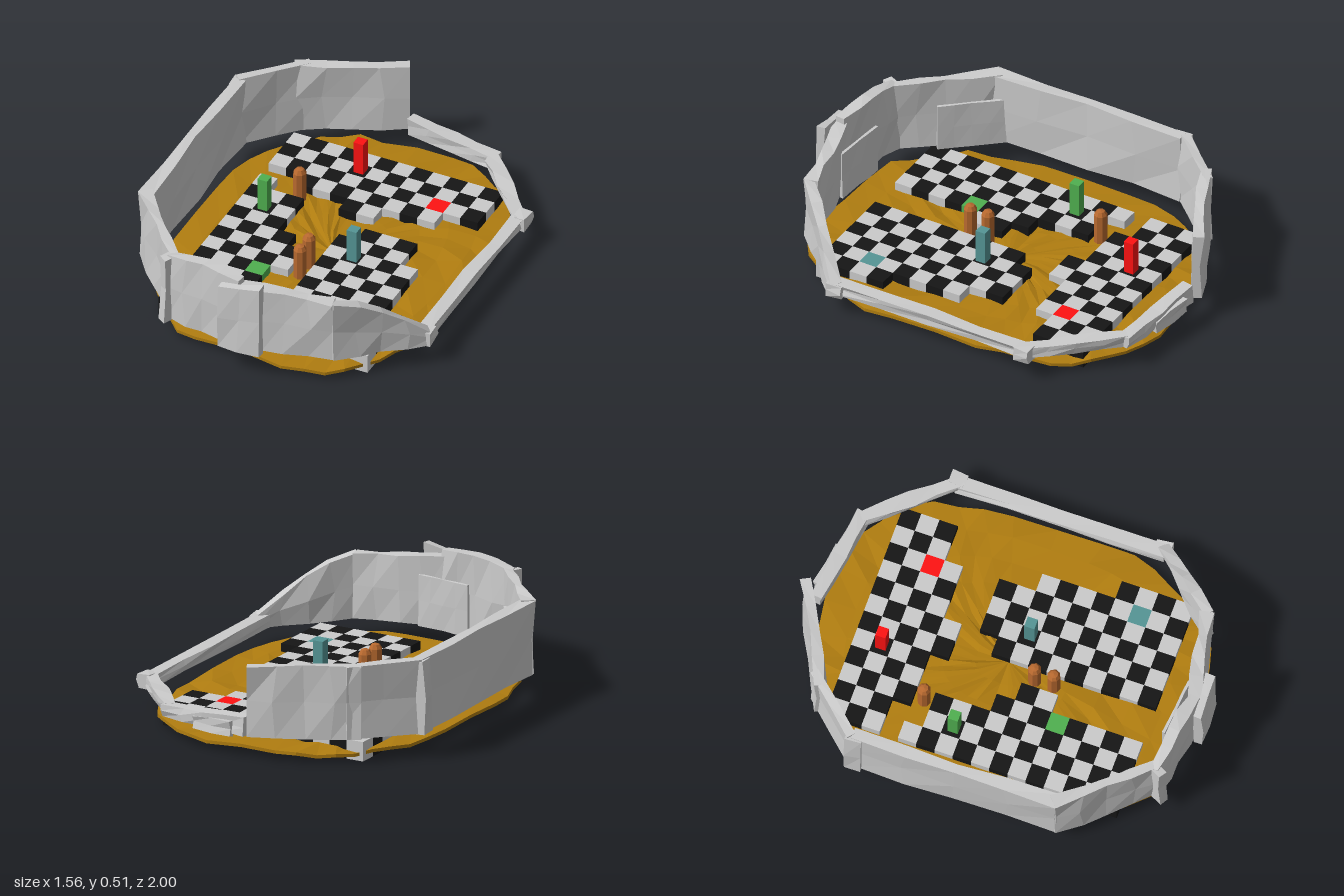
import * as THREE from 'three';
import { mergeGeometries } from 'three/addons/utils/BufferGeometryUtils.js';

const mat = (color, extra = {}) => new THREE.MeshStandardMaterial({ color, flatShading: true, ...extra });

// Repeatable noise in -1..1 that depends on position only, so shared corners stay joined
function noise(x, y, z, k = 0) {
  const r = (v) => Math.round(v * 1000);
  const s = Math.sin(r(x) * 12.9898 + r(y) * 78.233 + r(z) * 37.719 + k * 11.13) * 43758.5453;
  return (s - Math.floor(s)) * 2 - 1;
}

// Rough slab standing between two ground points, with its own top height at each end
function makeSlab({ from, to, top, base = [0.12, 0.12], thick = 0.05, rough = 0.012, bulge = 0, cells = 4 }) {
  const geo = new THREE.BoxGeometry(1, 1, 1, cells, 2, 1);
  const p = geo.attributes.position;
  const dx = to[0] - from[0], dz = to[1] - from[1], len = Math.hypot(dx, dz);
  const nx = -dz / len, nz = dx / len;
  for (let i = 0; i < p.count; i++) {
    const t = p.getX(i) + 0.5, v = p.getY(i) + 0.5, s = p.getZ(i);
    const x = from[0] + dx * t + nx * s * thick;
    const z = from[1] + dz * t + nz * s * thick;
    const low = THREE.MathUtils.lerp(base[0], base[1], t);
    const high = THREE.MathUtils.lerp(top[0], top[1], t) + bulge * 4 * t * (1 - t);
    const y = low + (high - low) * v;
    const n = rough * noise(x, y, z), m = rough * 0.4 * noise(x, y, z, 5);
    const along = t > 0.01 && t < 0.99 ? rough * 1.5 * noise(t, v, 0, 9) : 0;
    p.setXYZ(i, x + nx * n + (dx / len) * along, y + m, z + nz * n + (dz / len) * along);
  }
  geo.computeVertexNormals();
  return geo;
}

// Uneven ground plate: rings of a rounded outline, closed by an upper and a lower skin
function makeGround() {
  const rings = 6, sides = 44, pos = [], idx = [];
  const point = (r, a, skin) => {
    const c = Math.cos(a), s = Math.sin(a), e = 2 / 2.8;
    const edge = r === rings ? 1 + 0.025 * noise(c, s, 0, 3) : 1;
    const k = (r / rings) * edge;
    const x = 0.7 * k * Math.sign(c) * Math.abs(c) ** e;
    const z = 0.905 * k * Math.sign(s) * Math.abs(s) ** e;
    const half = r === rings ? 0.008 : 0.014;
    return [x, 0.038 + skin * half + 0.009 * noise(x, 0, z, r === rings ? 2 : skin), z];
  };
  for (const skin of [1, -1])
    for (let r = 0; r <= rings; r++)
      for (let i = 0; i < sides; i++) pos.push(...point(r, (i / sides) * Math.PI * 2, skin));
  const half = (rings + 1) * sides;
  const quad = (a, b, c, d) => idx.push(a, b, c, a, c, d);
  for (let i = 0; i < sides; i++) {
    const j = (i + 1) % sides;
    for (let r = 0; r < rings; r++) {
      const a = r * sides + i, b = r * sides + j;
      quad(a, b, b + sides, a + sides);
      quad(half + a, half + a + sides, half + b + sides, half + b);
    }
    const o = rings * sides;
    quad(o + i, o + j, half + o + j, half + o + i);
  }
  const geo = new THREE.BufferGeometry();
  geo.setAttribute('position', new THREE.Float32BufferAttribute(pos, 3));
  geo.setIndex(idx);
  geo.computeVertexNormals();
  return geo;
}

export function createModel() {
  const model = new THREE.Group();
  const add = (name, geo, material, x = 0, y = 0, z = 0, parent = model) => {
    const mesh = new THREE.Mesh(geo, material);
    mesh.name = name;
    mesh.position.set(x, y, z);
    parent.add(mesh);
    return mesh;
  };
  const grey = mat(0xcccccc), black = mat(0x151515), red = mat(0xff1212);
  const green = mat(0x50b050), teal = mat(0x559595), brown = mat(0xb8692f);

  add('ground', makeGround(), mat(0xb07d10, { side: THREE.DoubleSide }));

  // Checkered floor, one line per row from back to front
  const layout = [
    '############', '############', '############', '..########..',
    '#....##.....', '###.........', '###....###..', '###...####..',
    '####..#####.', '#####.#####.', '#####.#####.', '####..#####.',
    '####..######', '####..######', '####..######', '####..######',
  ];
  const special = { '2,9': 'red', '11,3': 'green', '13,10': 'teal' };
  const tileMats = { grey, black, red, green, teal };
  const tiles = { grey: [], black: [], red: [], green: [], teal: [] };
  const size = 0.09;
  layout.forEach((row, r) => [...row].forEach((ch, c) => {
    if (ch !== '#') return;
    const kind = special[`${r},${c}`] ?? ((r + c) % 2 ? 'black' : 'grey');
    const box = new THREE.BoxGeometry(size, 0.095, size);
    tiles[kind].push(box.translate(-0.545 + (c + 0.5) * size, 0.0475, -0.713 + (r + 0.5) * size));
  }));
  const board = new THREE.Group();
  board.name = 'checkeredFloor';
  model.add(board);
  for (const kind in tiles) add(`${kind}Tiles`, mergeGeometries(tiles[kind]), tileMats[kind], 0, 0, 0, board);

  // Square coloured pillars
  for (const [name, m, x, z] of [
    ['redPillar', red, -0.135, -0.577], ['greenPillar', green, -0.41, -0.122], ['tealPillar', teal, 0.14, 0.06],
  ]) add(name, new THREE.BoxGeometry(0.05, 0.175, 0.05), m, x, 0.1775, z);

  // Domed wooden posts
  const profile = [[0, 0.02], [0.032, 0.02], [0.032, 0.205], [0.02, 0.225], [0, 0.23]]
    .map(([x, y]) => new THREE.Vector2(x, y));
  for (const [x, z] of [[-0.317, -0.305], [-0.05, 0.145], [-0.05, 0.24]])
    add('woodenPost', new THREE.LatheGeometry(profile, 8), brown, x, 0, z);

  // Rock wall around the floor: tall at the front, left and back, low on the other side
  const wall = new THREE.Group();
  wall.name = 'rockWall';
  model.add(wall);
  const low = { base: [0.11, 0.11], thick: 0.06, rough: 0.01 };
  const segments = {
    sideWallTall: { from: [-0.725, -0.51], to: [-0.725, 0.5], top: [0.48, 0.48], thick: 0.055 },
    backCornerTall: { from: [-0.735, -0.51], to: [-0.49, -0.78], top: [0.48, 0.48], cells: 2 },
    backWallTall: { from: [-0.55, -0.73], to: [-0.07, -0.97], top: [0.48, 0.465] },
    frontCornerTall: { from: [-0.735, 0.48], to: [-0.39, 0.87], top: [0.48, 0.475] },
    frontWallTall: { from: [-0.42, 0.865], to: [-0.02, 0.925], top: [0.475, 0.495], bulge: 0.02, thick: 0.06 },
    frontWallFalling: { from: [-0.04, 0.925], to: [0.41, 0.83], top: [0.465, 0.435], thick: 0.06 },
    frontCornerSloping: { from: [0.4, 0.835], to: [0.745, 0.5], top: [0.435, 0.17], base: [0.115, 0.1], bulge: 0.035 },
    sideWallLow: { from: [0.715, 0.52], to: [0.715, -0.51], top: [0.165, 0.165], ...low },
    backCornerLow: { from: [0.735, -0.49], to: [0.4, -0.87], top: [0.165, 0.17], ...low },
    backWallLow: { from: [0.43, -0.865], to: [-0.05, -0.935], top: [0.17, 0.2], ...low },
  };
  for (const name in segments) add(name, makeSlab(segments[name]), grey, 0, 0, 0, wall);

  // Loose boulders and plates leaning against the wall
  const plates = {
    frontOuterPlate: { from: [-0.11, 0.965], to: [0.1, 0.97], top: [0.46, 0.5], cells: 2 },
    frontJoint: { from: [-0.44, 0.88], to: [-0.4, 0.9], top: [0.47, 0.47], thick: 0.06, cells: 1 },
    frontInnerPlate: { from: [-0.2, 0.835], to: [0.08, 0.86], top: [0.37, 0.37], thick: 0.015, rough: 0.003 },
    cornerInnerPlate: { from: [-0.7, 0.43], to: [-0.49, 0.68], top: [0.36, 0.36], thick: 0.015, rough: 0.003 },
    backOuterPlate: { from: [0.02, -0.95], to: [0.24, -0.925], top: [0.17, 0.16], base: [0.1, 0.1], thick: 0.03, cells: 2 },
    rearJoint: { from: [-0.745, -0.54], to: [-0.74, -0.46], top: [0.47, 0.47], thick: 0.05, cells: 1 },
    lowFrontJoint: { from: [0.735, 0.54], to: [0.735, 0.46], top: [0.17, 0.165], base: [0.1, 0.1], thick: 0.06, cells: 1 },
    lowRearJoint: { from: [0.735, -0.47], to: [0.735, -0.55], top: [0.165, 0.17], base: [0.1, 0.1], thick: 0.06, cells: 1 },
  };
  for (const name in plates) add(name, makeSlab(plates[name]), grey, 0, 0, 0, wall);

  return model;
}
